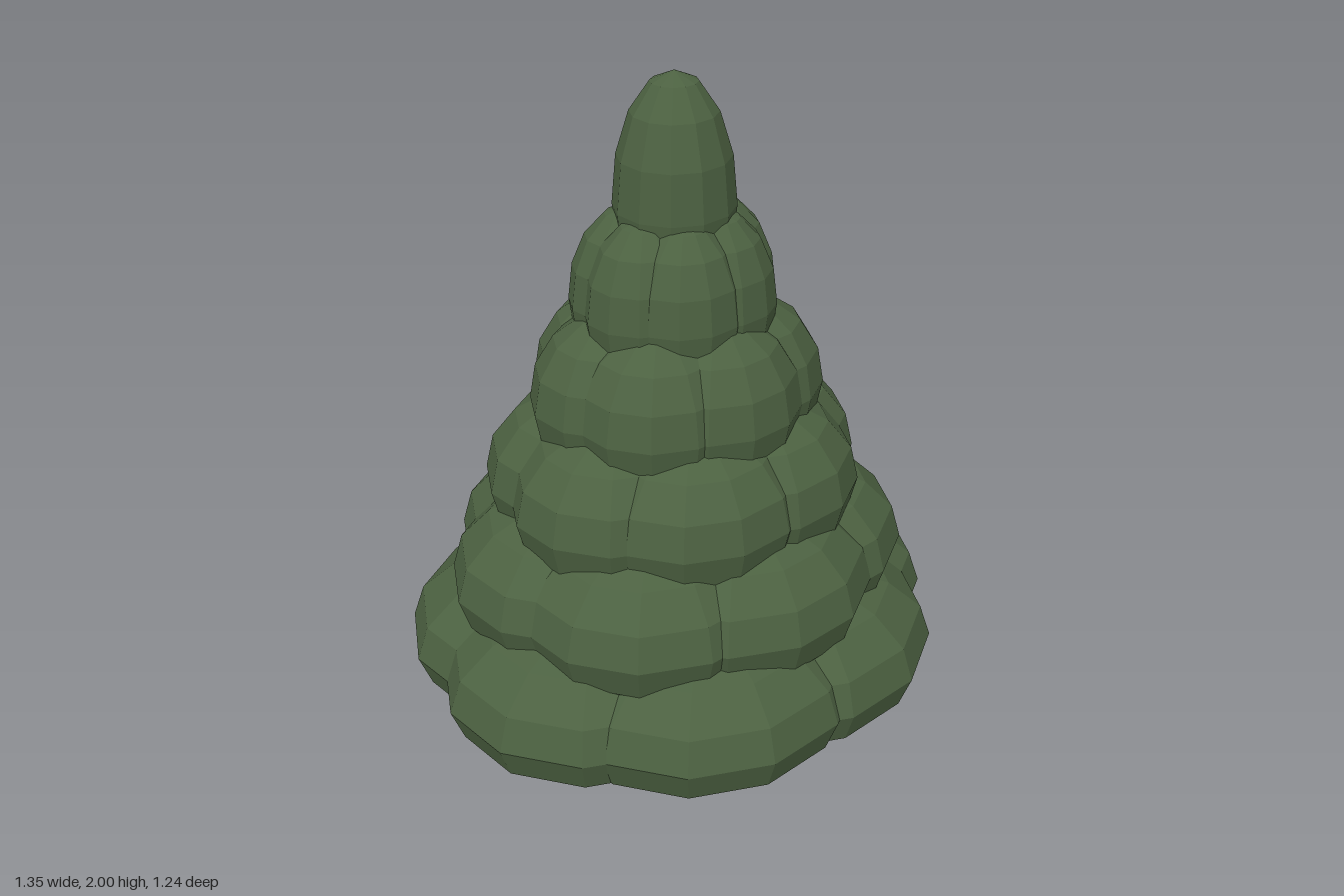
import * as THREE from 'three';

const foliage = new THREE.MeshStandardMaterial({ color: 0x4c6141 });
foliage.name = 'foliage green';
const bark = new THREE.MeshStandardMaterial({ color: 0x4e3d37 });
bark.name = 'bark brown';

const AXIS_X = -0.016;  // the trunk axis sits slightly off centre
const DEPTH = 0.91;     // the crown is a little shallower than it is wide
const LOBES = 7;
const TIERS = 5;

// Gives every face its own normal for a faceted look
function faceted(geometry) {
  const g = geometry.toNonIndexed();
  g.computeVertexNormals();
  return g;
}

function part(name, geometry, material, x, y, z) {
  const mesh = new THREE.Mesh(faceted(geometry), material);
  mesh.name = name;
  mesh.position.set(x, y, z);
  return mesh;
}

// Faceted ellipsoid used for every clump of needles
function ellipsoid(radius, height) {
  return new THREE.SphereGeometry(1, 12, 8).scale(radius, height, radius * DEPTH);
}

export function createModel() {
  const tree = new THREE.Group();
  tree.name = 'coniferTree';

  // Trunk
  tree.add(part('trunk', new THREE.CylinderGeometry(0.056, 0.062, 0.6, 10), bark, AXIS_X, 0.3, 0));

  // Tiers of overlapping lobes, alternate tiers turned by half a lobe
  for (let t = 0; t < TIERS; t++) {
    const tier = new THREE.Group();
    tier.name = `foliageTier${t + 1}`;
    const reach = 0.69 - 0.1105 * t;
    const spread = reach * 0.42;
    const radius = reach * 0.58;
    const turn = (t % 2) * Math.PI / LOBES;
    for (let i = 0; i < LOBES; i++) {
      const a = turn + (i / LOBES) * Math.PI * 2;
      tier.add(part('foliageLobe', ellipsoid(radius, 0.225), foliage,
        AXIS_X + Math.cos(a) * spread, 0.575 + 0.225 * t, Math.sin(a) * spread * DEPTH));
    }
    tree.add(tier);
  }

  // Pointed crown
  tree.add(part('treeTop', ellipsoid(0.14, 0.3).scale(1, 1, 1.08), foliage, AXIS_X, 1.7, 0));

  return tree;
}
